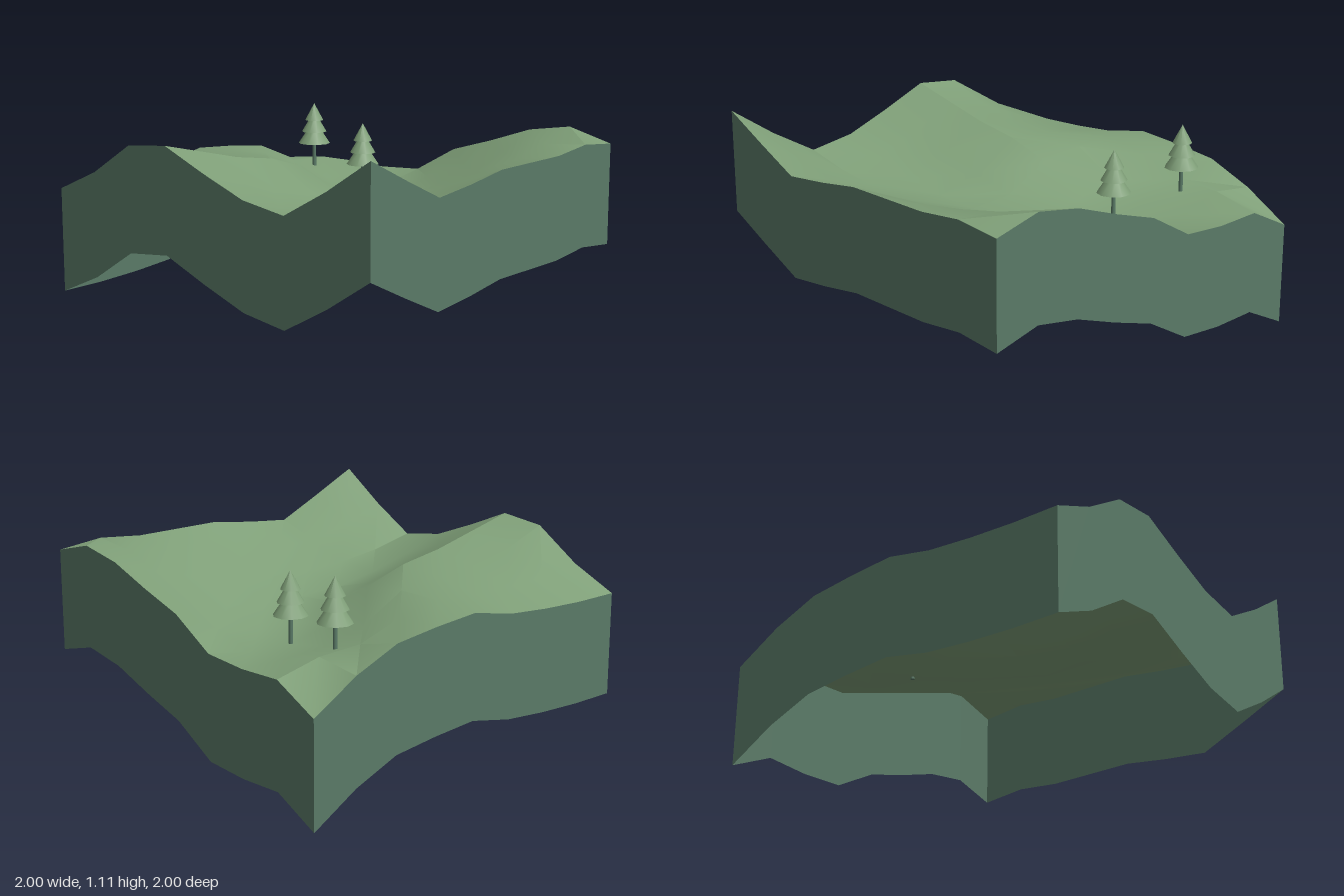
import * as THREE from 'three';
import { toCreasedNormals } from 'three/addons/utils/BufferGeometryUtils.js';

const STEP = 0.25, N = 8, DEPTH = 0.535;

// Ground heights: rows run from back to front, columns from x = -1 to x = 1
const HEIGHTS = [
  [0.75, 0.75, 0.76, 0.78, 0.83, 0.81, 0.78, 0.68, 0.535],
  [0.86, 0.83, 0.82, 0.83, 0.84, 0.80, 0.72, 0.71, 0.655],
  [1.02, 0.93, 0.88, 0.87, 0.84, 0.71, 0.65, 0.64, 0.645],
  [1.045, 0.985, 0.925, 0.885, 0.81, 0.66, 0.61, 0.62, 0.66],
  [0.94, 0.87, 0.80, 0.74, 0.68, 0.62, 0.62, 0.68, 0.80],
  [0.845, 0.77, 0.71, 0.67, 0.66, 0.67, 0.70, 0.77, 0.875],
  [0.805, 0.75, 0.72, 0.71, 0.73, 0.76, 0.80, 0.87, 0.96],
  [0.945, 0.86, 0.80, 0.80, 0.82, 0.85, 0.89, 0.94, 1.0],
  [1.11, 0.99, 0.875, 0.90, 0.935, 0.935, 0.935, 0.96, 0.935],
];

const point = (i, j) => [i * STEP - 1, HEIGHTS[j][i], j * STEP - 1];

// Rolling surface: a grid raised to the heights, creased at its sharper folds
function groundGeometry() {
  const geo = new THREE.PlaneGeometry(2, 2, N, N).rotateX(-Math.PI / 2);
  const pos = geo.attributes.position;
  for (let k = 0; k < pos.count; k++) {
    pos.setY(k, HEIGHTS[Math.floor(k / (N + 1))][k % (N + 1)]);
  }
  return toCreasedNormals(geo, 0.46);
}

// Side skirt: a strip hanging a fixed depth below one edge of the ground
function wallGeometry(edge) {
  const verts = [];
  for (let k = 0; k < N; k++) {
    const a = edge(k), b = edge(k + 1);
    const a0 = [a[0], a[1] - DEPTH, a[2]], b0 = [b[0], b[1] - DEPTH, b[2]];
    verts.push(...a0, ...b0, ...b, ...a0, ...b, ...a);
  }
  const geo = new THREE.BufferGeometry();
  geo.setAttribute('position', new THREE.Float32BufferAttribute(verts, 3));
  geo.computeVertexNormals();
  return geo;
}

// Conifer: thin trunk and three stacked tiers
function createTree(foliage, bark) {
  const tree = new THREE.Group();
  const trunk = new THREE.Mesh(new THREE.CylinderGeometry(0.01, 0.011, 0.18, 8), bark);
  trunk.name = 'trunk';
  trunk.position.y = 0.08;
  tree.add(trunk);
  const tiers = [
    [0.145, 0.225, 0.088, 0.035], // base, top, base radius, top radius
    [0.21, 0.29, 0.069, 0.022],
    [0.275, 0.37, 0.051, 0],
  ];
  tiers.forEach(([base, top, r0, r1], k) => {
    const tier = new THREE.Mesh(new THREE.CylinderGeometry(r1, r0, top - base, 10), foliage);
    tier.name = `foliageTier${k + 1}`;
    tier.position.y = (base + top) / 2;
    tree.add(tier);
  });
  return tree;
}

export function createModel() {
  const model = new THREE.Group();
  model.name = 'terrainTile';
  const grass = new THREE.MeshStandardMaterial({ color: 0x7f9f78, side: THREE.DoubleSide });
  grass.name = 'grassGreen';
  const earth = new THREE.MeshStandardMaterial({ color: 0x5a7a67, side: THREE.DoubleSide });
  earth.name = 'darkGreen';

  const ground = new THREE.Mesh(groundGeometry(), grass);
  ground.name = 'ground';
  model.add(ground);

  // Four open-bottomed sides
  const edges = {
    frontWall: k => point(k, N),
    rightEdgeWall: k => point(N, N - k),
    backWall: k => point(N - k, 0),
    leftEdgeWall: k => point(0, k),
  };
  for (const [name, edge] of Object.entries(edges)) {
    const wall = new THREE.Mesh(wallGeometry(edge), earth);
    wall.name = name;
    model.add(wall);
  }

  // Trees on the low ground
  [[0.5, 0.61, -0.25], [0.58, 0.675, -0.665]].forEach((p, k) => {
    const tree = createTree(grass, earth);
    tree.name = `tree${k + 1}`;
    tree.position.set(...p);
    model.add(tree);
  });
  return model;
}
